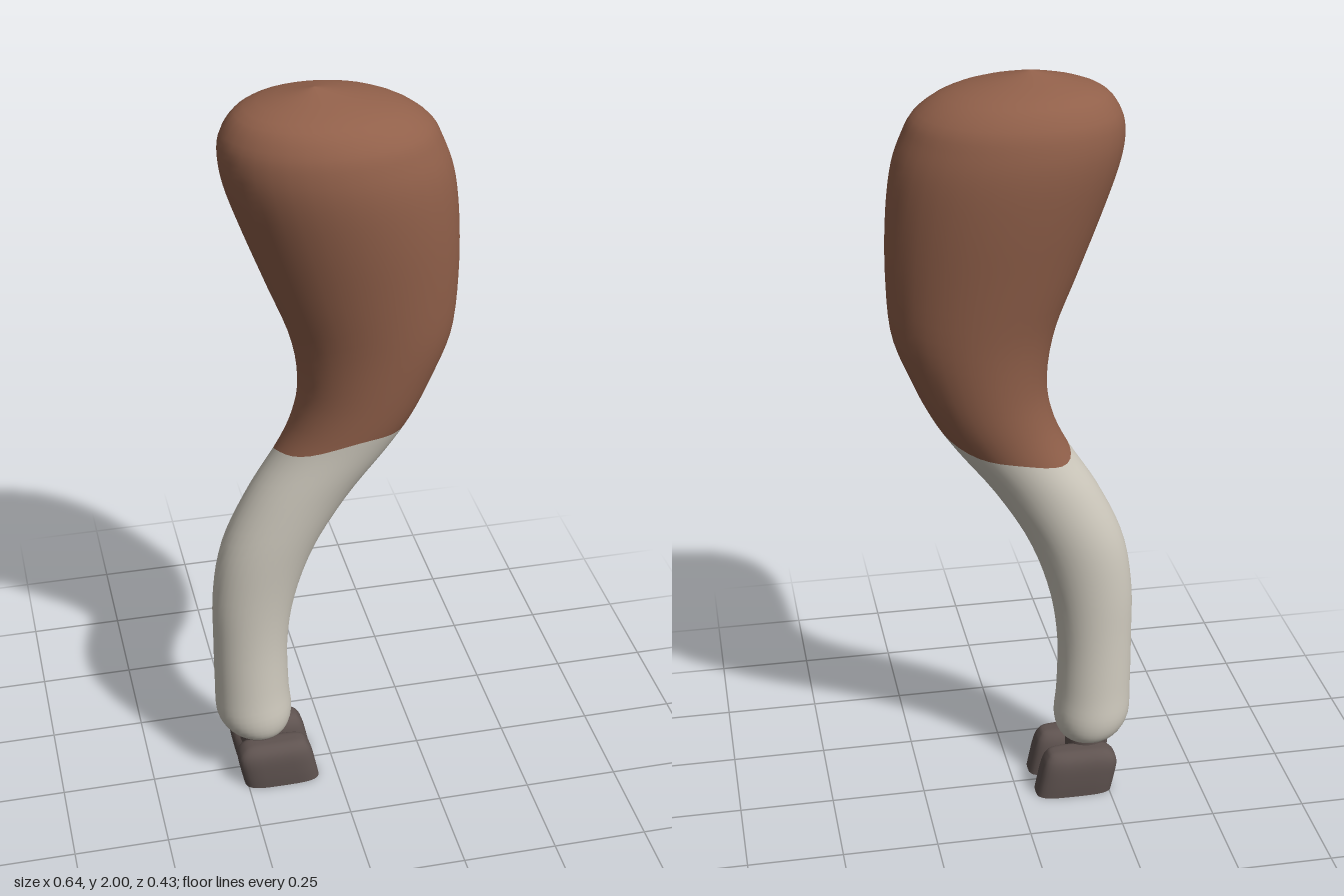
import * as THREE from 'three';

const brown = new THREE.MeshStandardMaterial({ color: 0x91604a });
brown.name = 'brown coat';
const cream = new THREE.MeshStandardMaterial({ color: 0xcfcabe });
cream.name = 'cream sock';
const dark = new THREE.MeshStandardMaterial({ color: 0x5f5350 });
dark.name = 'dark hoof';

// Section profile [y, xMin, xMax, zHalf] as smooth functions of t
function profile(sections) {
  const xy = new THREE.CatmullRomCurve3(
    sections.map(([y, a, b]) => new THREE.Vector3((a + b) / 2, y, (b - a) / 2)), false, 'catmullrom', 0.5);
  const zs = new THREE.CatmullRomCurve3(
    sections.map(([y, , , z]) => new THREE.Vector3(0, y, z)), false, 'catmullrom', 0.5);
  return (t) => {
    const p = xy.getPoint(t);
    return { cx: p.x, y: p.y, hx: Math.max(p.z, 0), hz: Math.max(zs.getPoint(t).z, 0) };
  };
}

// Closed loft, bottom to top; tAt(row fraction, angle) may bend the rows
function loft(at, rows, sides, power, tAt = (v) => v) {
  const pos = [], index = [];
  const round = (c) => Math.sign(c) * Math.abs(c) ** (2 / power);
  for (let i = 0; i <= rows; i++) {
    for (let j = 0; j < sides; j++) {
      const th = (j / sides) * Math.PI * 2;
      const s = at(tAt(i / rows, th));
      pos.push(s.cx + s.hx * round(Math.cos(th)), s.y, s.hz * round(Math.sin(th)));
    }
  }
  for (let i = 0; i < rows; i++) {
    for (let j = 0; j < sides; j++) {
      const a = i * sides + j, b = i * sides + (j + 1) % sides;
      index.push(a, a + sides, b, b, a + sides, b + sides);
    }
  }
  const g = new THREE.BufferGeometry();
  g.setAttribute('position', new THREE.Float32BufferAttribute(pos, 3));
  g.setIndex(index);
  g.computeVertexNormals();
  return g;
}

function add(parent, name, geometry, material) {
  const mesh = new THREE.Mesh(geometry, material);
  mesh.name = name;
  parent.add(mesh);
  return mesh;
}

export function createModel() {
  const model = new THREE.Group();
  model.name = 'hindLeg';

  // Leg: S-shaped limb from ankle to rounded thigh
  const limb = profile([
    [0.135, -0.21, -0.20, 0],
    [0.14, -0.25, -0.15, 0.055],
    [0.16, -0.29, -0.125, 0.086],
    [0.21, -0.317, -0.113, 0.099],
    [0.30, -0.32, -0.12, 0.093],
    [0.45, -0.32, -0.12, 0.089],
    [0.60, -0.317, -0.095, 0.093],
    [0.75, -0.29, -0.04, 0.101],
    [0.90, -0.22, 0.05, 0.108],
    [1.03, -0.138, 0.15, 0.119],
    [1.12, -0.098, 0.21, 0.13],
    [1.22, -0.083, 0.258, 0.142],
    [1.35, -0.103, 0.306, 0.158],
    [1.50, -0.16, 0.318, 0.18],
    [1.65, -0.217, 0.314, 0.202],
    [1.77, -0.258, 0.299, 0.213],
    [1.85, -0.27, 0.272, 0.208],
    [1.91, -0.255, 0.235, 0.188],
    [1.96, -0.2, 0.145, 0.135],
    [2.0, -0.04, -0.04, 0],
  ]);

  // Slanted coat line where the sock ends
  const seamCache = new Map();
  const seam = (th) => {
    if (!seamCache.has(th)) {
      const y = 1.052 + 0.05 * Math.cos(th - 0.87) + 0.006 * Math.cos(4 * th);
      let lo = 0, hi = 1;
      for (let k = 0; k < 30; k++) {
        const mid = (lo + hi) / 2;
        if (limb(mid).y < y) lo = mid; else hi = mid;
      }
      seamCache.set(th, lo);
    }
    return seamCache.get(th);
  };
  const rows = 76, sides = 36, half = (rows / 2) * sides * 6;
  const legGeo = loft(limb, rows, sides, 2, (v, th) => {
    const s = seam(th);
    return v <= 0.5 ? v * 2 * s : s + (v - 0.5) * 2 * (1 - s);
  });
  legGeo.addGroup(0, half, 0);
  legGeo.addGroup(half, half, 1);
  add(model, 'leg', legGeo, [cream, brown]);

  // Ankle joint
  add(model, 'ankle', new THREE.CylinderGeometry(0.055, 0.055, 0.045, 24), dark)
    .position.set(-0.2, 0.123, 0);

  // Cloven hoof: two rounded toes with flat soles
  const toe = profile([
    [0, -0.258, -0.05, 0.047],
    [0.04, -0.266, -0.058, 0.049],
    [0.085, -0.273, -0.068, 0.048],
    [0.112, -0.262, -0.08, 0.04],
    [0.127, -0.235, -0.1, 0.022],
    [0.129, -0.17, -0.17, 0],
  ]);
  const toeGeo = loft(toe, 20, 32, 3.6);
  const rim = toe(0);
  const soleGeo = loft((t) => ({ cx: rim.cx, y: 0, hx: rim.hx * t, hz: rim.hz * t }), 1, 32, 3.6);
  for (const side of [1, -1]) {
    const hoof = new THREE.Group();
    hoof.name = side > 0 ? 'frontToe' : 'rearToe';
    hoof.position.z = side * 0.057;
    add(hoof, 'toe', toeGeo, dark);
    add(hoof, 'sole', soleGeo, dark);
    model.add(hoof);
  }
  return model;
}
